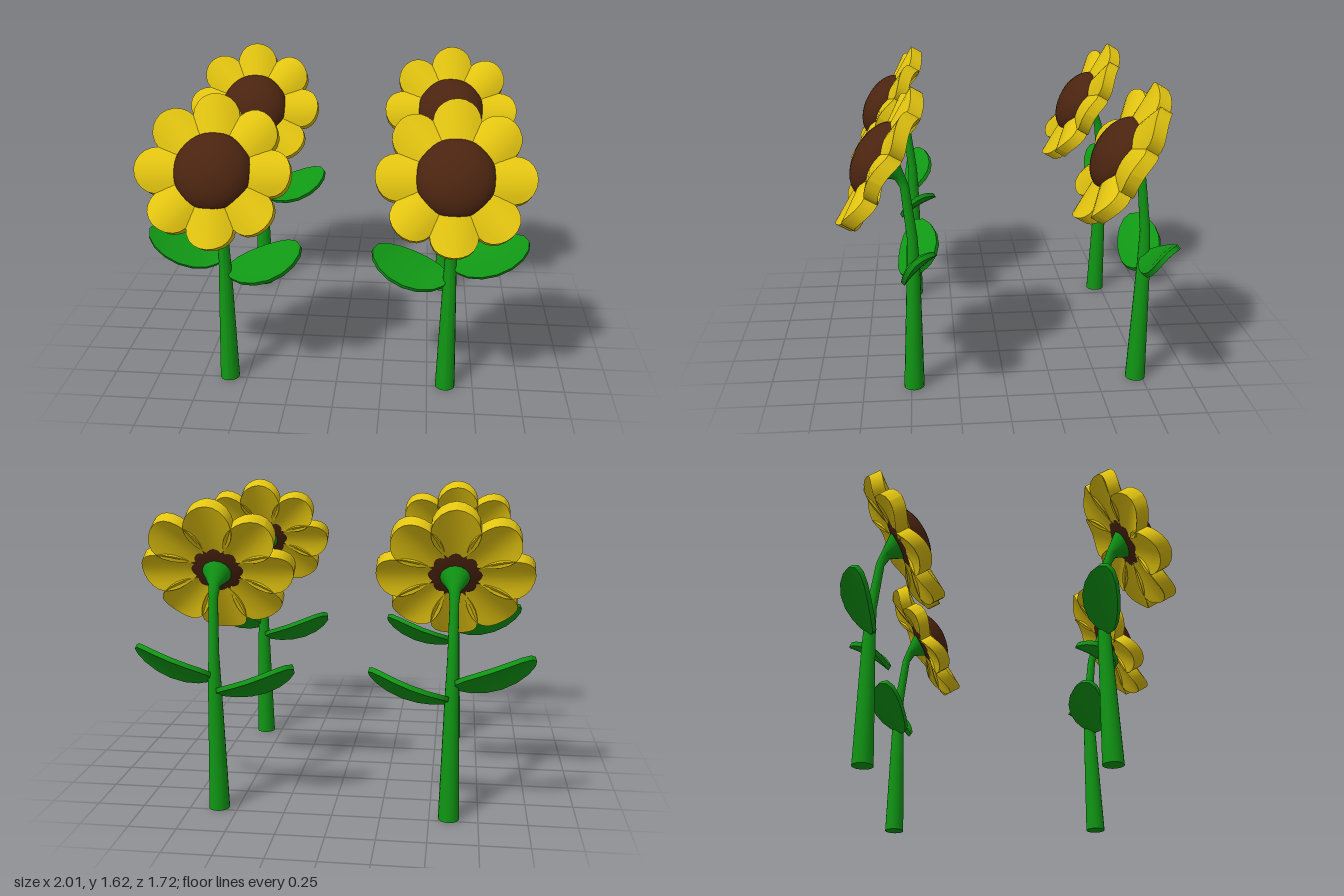
import * as THREE from 'three';

const material = (name, color) => Object.assign(new THREE.MeshStandardMaterial({ color }), { name });

// Curved blade: length along x from 0, width along y, thickness along z.
// skew moves the widest point outward, cup drops the long edges, sag lowers the middle.
function bladeGeometry({ length, halfWidth, thickness, skew = 0, cup = 0, sag = 0, segs = 12 }) {
  const geo = new THREE.BoxGeometry(2, 2, 2, segs, 6, 1);
  const p = geo.attributes.position;
  for (let i = 0; i < p.count; i++) {
    const a = p.getX(i) * Math.PI / 2;
    const v = p.getY(i);
    const s = Math.sin(a);
    const y = v * halfWidth * Math.max(Math.cos(a), 0.02) * (1 + skew * s);
    const drop = cup * (y / halfWidth) ** 2 + sag * (1 - s * s);
    p.setXYZ(i, (1 + s) * length / 2, y, p.getZ(i) * thickness / 2 - drop);
  }
  geo.computeVertexNormals();
  return geo;
}

// Tapered bent stem: rows of [y, z, radius, forward lean in degrees]
function stemGeometry(rows, sides = 16) {
  const n = rows.length - 1;
  const geo = new THREE.CylinderGeometry(1, 1, 1, sides, n);
  const p = geo.attributes.position;
  for (let i = 0; i < p.count; i++) {
    const [y, z, r, lean] = rows[Math.round((p.getY(i) + 0.5) * n)];
    const a = THREE.MathUtils.degToRad(lean);
    const pz = p.getZ(i) * r;
    p.setXYZ(i, p.getX(i) * r, y - pz * Math.sin(a), z + pz * Math.cos(a));
  }
  geo.computeVertexNormals();
  return geo;
}

export function createModel() {
  const model = new THREE.Group();
  model.name = 'sunflowers';

  const green = material('leaf green', 0x109614);
  const yellow = material('petal yellow', 0xe2c410);
  const brown = material('seed brown', 0x4b2410);

  const stemGeo = stemGeometry([
    [0, 0, 0.054, 0],
    [0.65, -0.013, 0.035, 0],
    [0.85, -0.012, 0.027, 4],
    [1.12, 0.018, 0.023, 12],
    [1.18, 0.045, 0.03, 42],
    [1.235, 0.1, 0.075, 60],
  ]);
  const petalGeo = bladeGeometry({ length: 0.293, halfWidth: 0.116, thickness: 0.07, skew: 0.25, cup: 0.035 });
  const upperLeafGeo = bladeGeometry({ length: 0.42, halfWidth: 0.108, thickness: 0.025, cup: 0.012, sag: 0.025, segs: 8 });
  const lowerLeafGeo = bladeGeometry({ length: 0.43, halfWidth: 0.12, thickness: 0.025, cup: 0.012, sag: 0.025, segs: 8 });

  // Seed head: domed front, shallow back
  const headGeo = new THREE.SphereGeometry(0.2, 28, 18);
  const hp = headGeo.attributes.position;
  for (let i = 0; i < hp.count; i++) {
    const z = hp.getZ(i);
    hp.setZ(i, z * (z > 0 ? 0.6 : 0.24));
  }
  headGeo.computeVertexNormals();

  // Leaf running from base to tip, its back edge raised by the given width direction
  function addLeaf(parent, name, geo, base, tip, up) {
    const mesh = new THREE.Mesh(geo, green);
    mesh.name = name;
    const axis = tip.clone().sub(base).normalize();
    const width = up.clone().addScaledVector(axis, -up.dot(axis)).normalize();
    width.multiplyScalar(Math.sign(axis.x));
    const normal = axis.clone().cross(width);
    mesh.quaternion.setFromRotationMatrix(new THREE.Matrix4().makeBasis(axis, width, normal));
    mesh.position.copy(base);
    parent.add(mesh);
  }

  function addSunflower(side, z) {
    const plant = new THREE.Group();
    plant.name = 'sunflower';
    plant.position.set(side * 0.6, 0, z);

    const stem = new THREE.Mesh(stemGeo, green);
    stem.name = 'stem';
    plant.add(stem);

    const v = (x, y, zz) => new THREE.Vector3(x * side, y, zz);
    addLeaf(plant, 'outerLeaf', upperLeafGeo, v(0.01, 0.715, -0.015), v(0.4, 0.868, -0.025), v(0, 0.68, -0.73));
    addLeaf(plant, 'innerLeaf', lowerLeafGeo, v(-0.01, 0.635, -0.01), v(-0.425, 0.795, -0.035), v(0, 0.52, -0.85));

    // Flower head tipped back to face upward
    const flower = new THREE.Group();
    flower.name = 'flowerHead';
    flower.position.set(0, 1.264, 0.141);
    flower.rotation.x = -Math.PI / 6;
    const head = new THREE.Mesh(headGeo, brown);
    head.name = 'seedHead';
    flower.add(head);
    for (let i = 0; i < 8; i++) {
      const a = i * Math.PI / 4;
      const petal = new THREE.Mesh(petalGeo, yellow);
      petal.name = 'petal';
      petal.position.set(Math.cos(a) * 0.1, Math.sin(a) * 0.1, 0);
      petal.rotation.z = a;
      flower.add(petal);
    }
    plant.add(flower);
    model.add(plant);
  }

  for (const side of [-1, 1]) for (const z of [0.485, -0.715]) addSunflower(side, z);
  return model;
}
